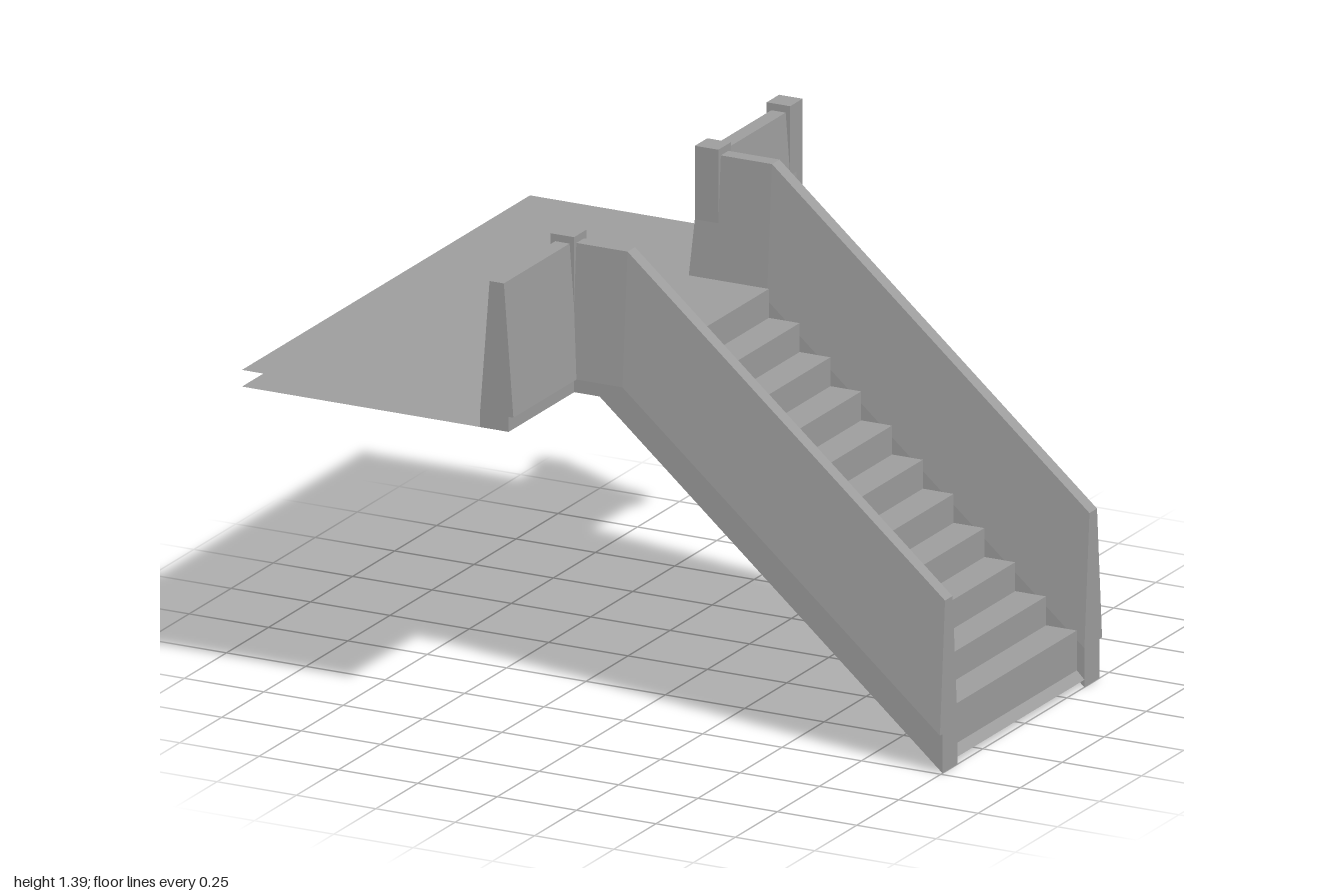
import * as THREE from 'three';

const material = new THREE.MeshStandardMaterial({ color: 0x9c9c9c, flatShading: true, side: THREE.DoubleSide });

function faceMesh(name, triangles) {
  const geometry = new THREE.BufferGeometry();
  geometry.setAttribute('position', new THREE.Float32BufferAttribute(triangles.flat(2), 3));
  geometry.computeVertexNormals();
  const mesh = new THREE.Mesh(geometry, material);
  mesh.name = name;
  return mesh;
}

// Sheet that extrudes an (x, y) line along z; faces up where x increases
function strip(name, points, z0, z1) {
  const triangles = [];
  for (let i = 0; i < points.length - 1; i++) {
    const [p, q] = [points[i], points[i + 1]];
    const a = [...p, z1], b = [...q, z1], c = [...q, z0], d = [...p, z0];
    triangles.push([a, b, c], [a, c, d]);
  }
  return faceMesh(name, triangles);
}

function box(name, w, h, d, x, y, z) {
  const mesh = new THREE.Mesh(new THREE.BoxGeometry(w, h, d), material);
  mesh.name = name;
  mesh.position.set(x, y, z);
  return mesh;
}

// Tapered parapet with a base band: along the landing, round the corner, down the stairs
function parapet(name, endZ, mirrored) {
  const section = (bottom, band, top) => [
    [0, bottom], [0, band], [0.03, top], [0.075, top], [0.105, band], [0.09, band], [0.09, bottom],
  ];
  const flat = section(0.936, 0.98, 1.37);
  const rings = [
    flat.map(([d, y]) => [-0.25 + d, y, endZ]),
    flat.map(([d, y]) => [-0.25 + d, y, 0.4 + d]),
    flat.map(([d, y]) => [-0.08, y, 0.4 + d]),
    section(0.867, 0.98, 1.37).map(([d, y]) => [0, y, 0.4 + d]),
    section(0, 0.115, 0.503).map(([d, y]) => [1, y, 0.4 + d]),
  ];
  const n = flat.length;
  const triangles = [];
  for (let i = 0; i < rings.length - 1; i++) {
    for (let j = 0; j < n; j++) {
      const k = (j + 1) % n;
      const a = rings[i][j], b = rings[i][k], c = rings[i + 1][j], d = rings[i + 1][k];
      triangles.push([a, b, d], [a, d, c]);
    }
  }
  // End caps
  const first = rings[0], last = rings[rings.length - 1];
  for (const [j, k] of [[2, 3], [3, 4], [5, 6], [6, 0]]) {
    triangles.push([first[1], first[k], first[j]], [last[1], last[j], last[k]]);
  }
  if (!mirrored) return faceMesh(name, triangles);
  const flip = ([x, y, z]) => [x, y, 0.046 - z];
  return faceMesh(name, triangles.map(([a, b, c]) => [flip(a), flip(c), flip(b)]));
}

export function createModel() {
  const group = new THREE.Group();
  group.name = 'staircase';

  // Stairs, open underneath
  const steps = 11, rise = 0.085, run = 0.097;
  const profile = [[-0.25, 0.985], [-0.25, 1.013]];
  for (let i = 0; i < steps; i++) {
    const x = 0.006 + i * run, y = 1.013 - i * rise;
    profile.push([x, y], [x, i < steps - 1 ? y - rise : 0.046]);
  }
  profile.push([1, 0.022]);
  group.add(strip('steps', profile, -0.354, 0.4));

  // Landing: thin upper and lower sheets, and a base band under the top of the stairs
  group.add(strip('landingTop', [[-1, 0.985], [-0.25, 0.985]], -0.833, 0.88));
  group.add(strip('landingUnderside', [[-0.25, 0.936], [-1, 0.936]], -0.833, 0.88));
  group.add(strip('landingBand', [[-0.16, 0.98], [-0.16, 0.936], [-0.25, 0.936]], -0.354, 0.4));

  // Parapets
  group.add(parapet('leftParapet', 0.88, false));
  group.add(parapet('rightParapet', 0.879, true));

  // Corner posts and the end post with its base block
  for (const [name, z] of [['leftPost', 0.452], ['rightPost', -0.406], ['endPost', -0.833]]) {
    group.add(box(name, 0.074, 0.41, 0.074, -0.198, 1.186, z));
  }
  group.add(box('endPostBase', 0.105, 0.086, 0.093, -0.198, 0.979, -0.833));

  return group;
}
